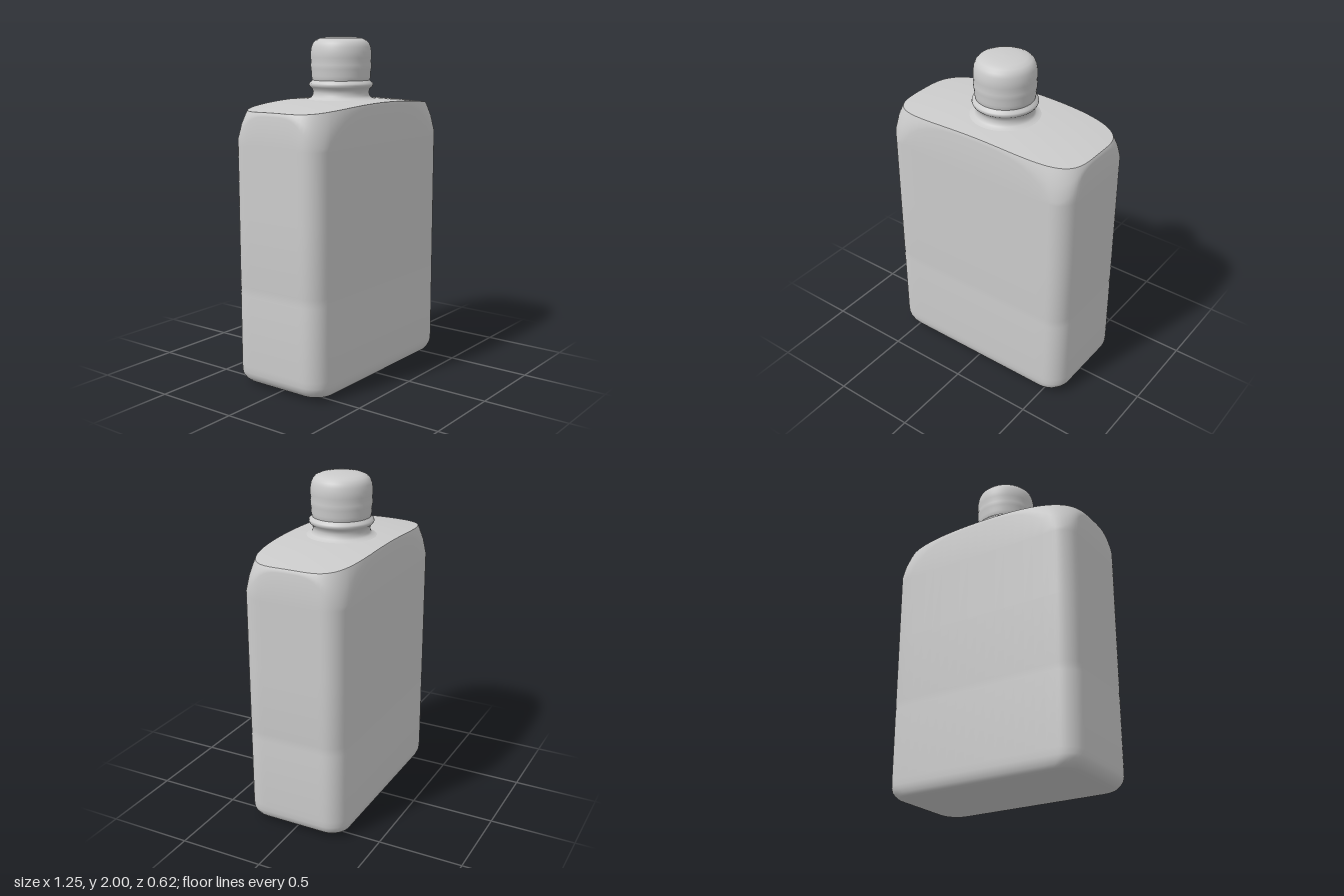
import * as THREE from 'three';
import { toCreasedNormals } from 'three/addons/utils/BufferGeometryUtils.js';

const W = 0.625, D = 0.312, R = 0.115; // half width, half depth, corner radius

// Rounded-rectangle outline running from +x towards +z
function outline() {
  const pts = [];
  const corners = [[1, 1], [-1, 1], [-1, -1], [1, -1]];
  corners.forEach(([sx, sz], k) => {
    for (let i = 0; i <= 8; i++) {
      const a = (k + i / 8) * Math.PI / 2;
      pts.push([sx * (W - R) + R * Math.cos(a), sz * (D - R) + R * Math.sin(a)]);
    }
    // subdivided straight side to the next corner
    const [x, z] = pts[pts.length - 1];
    const alongX = k % 2 === 0;
    for (let i = 1; i < 16; i++) {
      const f = 1 - i / 8;
      pts.push(alongX ? [x * f, z] : [x, z * f]);
    }
  });
  return pts;
}

// Gently crowned shoulder height
const crown = (x, z) => 1.645 - 0.045 * (x / 0.6) ** 2 - 0.013 * (z / D) ** 2;

// Scale that pulls the shoulder edge in, most of all at the corners
const pull = (x, z) =>
  0.987 * Math.min(1, ((x / W) ** 4 + (z / D) ** 4) ** -0.25);

function bodyGeometry() {
  const base = outline(), n = base.length, rings = [];
  const ring = fn => rings.push(base.map(([x, z]) => fn(x, z)));
  const level = (s, y) => ring((x, z) => [x * s, y, z * s]);

  // slightly bulged underside and softened lower edge
  for (const s of [0, 0.3, 0.6, 0.85]) level(s, 0.004 + 0.018 * s * s);
  for (const [s, y] of [[0.915, 0.02], [0.935, 0.024], [0.965, 0.04], [0.99, 0.062], [0.998, 0.085]]) level(s, y);
  // walls with a faint groove
  for (const [s, y] of [[1, 0.12], [1, 0.545], [0.996, 0.57], [1, 0.595], [1, 1], [1, 1.4]]) level(s, y);
  // scalloped upper wall line, then corner bevel
  const drop = (x, z) => 1.6 * (1 - pull(x, z));
  for (const f of [0, 0.5, 0.85, 1]) {
    ring((x, z) => {
      const t = 1 - (1 - pull(x, z)) * f ** 1.5;
      return [x * t, crown(x * t, z * t) - drop(x, z) * (1 - f), z * t];
    });
  }
  // crowned shoulder
  for (const s of [0.95, 0.85, 0.7, 0.5, 0.3, 0]) {
    ring((x, z) => {
      const t = pull(x, z) * s;
      return [x * t, crown(x * t, z * t), z * t];
    });
  }

  const index = [];
  for (let j = 0; j < rings.length - 1; j++) {
    for (let i = 0; i < n; i++) {
      const a = j * n + i, b = j * n + (i + 1) % n;
      index.push(a, a + n, b, b, a + n, b + n);
    }
  }
  const geo = new THREE.BufferGeometry();
  geo.setAttribute('position', new THREE.Float32BufferAttribute(rings.flat(2), 3));
  geo.setIndex(index);
  return toCreasedNormals(geo, 0.75);
}

function lathe(points) {
  return new THREE.LatheGeometry(points.map(p => new THREE.Vector2(...p)), 56);
}

export function createModel() {
  const model = new THREE.Group();
  const material = new THREE.MeshStandardMaterial({ color: 0xcccccc });
  const add = (name, geometry) => {
    const mesh = new THREE.Mesh(geometry, material);
    mesh.name = name;
    model.add(mesh);
  };

  add('body', bodyGeometry());

  // neck with fillet and flared collar
  add('neck', lathe([
    [0.225, 1.632], [0.195, 1.642], [0.175, 1.65], [0.167, 1.663], [0.164, 1.68],
    [0.168, 1.698], [0.182, 1.71], [0.188, 1.722], [0.186, 1.733], [0.175, 1.741], [0.168, 1.75],
  ]));

  // softly ribbed cap with domed top
  add('cap', lathe([
    [0.166, 1.742], [0.17, 1.755], [0.174, 1.775], [0.173, 1.795], [0.177, 1.815], [0.178, 1.84],
    [0.175, 1.86], [0.179, 1.88], [0.178, 1.91], [0.173, 1.94], [0.164, 1.962],
    [0.148, 1.979], [0.122, 1.99], [0.085, 1.996], [0.04, 1.999], [0, 2],
  ]));

  return model;
}
